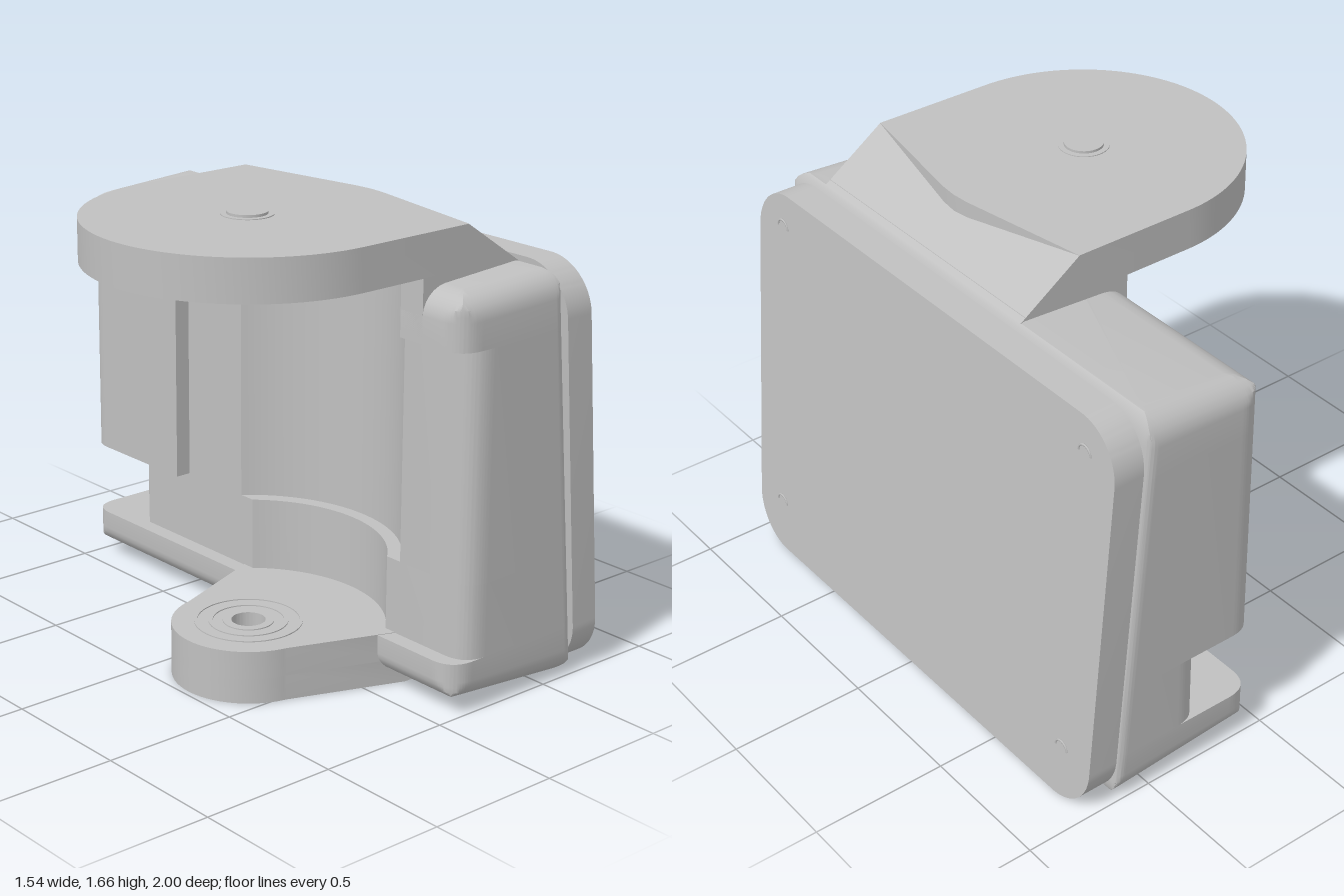
import * as THREE from 'three';
import { toCreasedNormals } from 'three/addons/utils/BufferGeometryUtils.js';

const AX = -0.21, AZ = 0.255;   // hinge axis
const TOP = 1.49;               // top of housing
const gray = new THREE.MeshStandardMaterial({ color: 0xc0c0c0 });
gray.name = 'light gray';

// Upright prism from a plan drawn in (x, -z)
function prism(shape, y0, y1, steps = 1) {
  const g = new THREE.ExtrudeGeometry(shape, { depth: y1 - y0, steps, bevelEnabled: false, curveSegments: 32 });
  return g.rotateX(-Math.PI / 2).translate(0, y0, 0);
}

function circlePath(x, z, r) {
  return new THREE.Path().absarc(x, -z, r, 0, Math.PI * 2, true);
}

// Housing plan: back faces at xa (z < zs), xb (up to the pocket) and xc (beyond it)
function housingPlan(xa, zs, xb, xc, r) {
  const s = new THREE.Shape();
  s.moveTo(0.56, -1);
  s.quadraticCurveTo(0.6, -1, 0.6, -0.96);
  s.lineTo(0.6, 0.96);
  s.quadraticCurveTo(0.6, 1, 0.56, 1);
  s.lineTo(xa + 0.1, 1);
  s.quadraticCurveTo(xa, 1, xa, 0.9);
  if (xa !== xb) {
    s.lineTo(xa, -zs);
    s.lineTo(xb, -zs);
  }
  if (r) {
    const a = Math.acos((xb - AX) / r);
    s.absarc(AX, -AZ, r, a, -a, true);
  }
  s.lineTo(xc, -0.9);
  s.quadraticCurveTo(xc, -1, xc + 0.1, -1);
  s.closePath();
  return s;
}

// Slice of the housing: sloped front, filleted top and bottom edges
function housingBand(shape, levels) {
  const n = levels.length - 1, R = 0.1;
  const g = prism(shape, 0, 1, n), p = g.attributes.position;
  for (let i = 0; i < p.count; i++) {
    let y = levels[Math.round(p.getY(i) * n)];
    let x = p.getX(i);
    const front = 0.515 + 0.135 * (1 - y / TOP);
    if (x > 0.45) x += front - 0.6;
    const t = Math.min(y, TOP - y);
    const d = t < R ? R - Math.sqrt(R * R - (R - t) ** 2) : 0;
    x = THREE.MathUtils.clamp(x, 0.05 + d, front - 0.4 * d);
    const z = THREE.MathUtils.clamp(p.getZ(i), d - 1, 1 - d);
    const low = Math.max(0, 1 - y / 0.19), high = Math.max(0, (y - 1.28) / 0.21);
    y += 0.09 * Math.max(0, 0.6 - x) * low - 0.06 * Math.max(0, 0.5 - x) * high;
    p.setXYZ(i, x, y, z);
  }
  return toCreasedNormals(g, 0.6);
}

// Rounded slab parallel to the sloped front
function slopedSlab(halfZ, y0, y1, r, back, thick) {
  const s = new THREE.Shape();
  s.moveTo(-halfZ + r, y0);
  s.lineTo(halfZ - r, y0);
  s.absarc(halfZ - r, y0 + r, r, -Math.PI / 2, 0, false);
  s.absarc(halfZ - r, y1 - r, r, 0, Math.PI / 2, false);
  s.absarc(-halfZ + r, y1 - r, r, Math.PI / 2, Math.PI, false);
  s.absarc(-halfZ + r, y0 + r, r, Math.PI, Math.PI * 1.5, false);
  const g = new THREE.ExtrudeGeometry(s, { depth: thick, bevelEnabled: false, curveSegments: 12 });
  g.rotateY(Math.PI / 2);
  const p = g.attributes.position;
  for (let i = 0; i < p.count; i++) p.setX(i, p.getX(i) + back + 0.125 * (1 - p.getY(i) / TOP));
  return toCreasedNormals(g, 0.5);
}

// Lower arm plan: round tip that widens toward the housing
function lowerArmPlan(holes) {
  const s = new THREE.Shape(), a = Math.PI / 2 + 0.2, r = 0.27;
  s.moveTo(0.46, -AZ - 0.42);
  s.lineTo(0.46, -AZ + 0.42);
  s.lineTo(0.15, -AZ + 0.42);
  s.absarc(AX, -AZ, r, a, Math.PI * 2 - a, false);
  s.lineTo(0.15, -AZ - 0.42);
  s.closePath();
  s.holes.push(...holes);
  return s;
}

export function createModel() {
  const model = new THREE.Group();
  const add = (name, geometry) => {
    const m = new THREE.Mesh(geometry, gray);
    m.name = name;
    model.add(m);
    return m;
  };
  const smooth = (g) => toCreasedNormals(g, 0.5);

  // Housing, in bands from bottom to top
  const fillet = [0, 0.004, 0.015, 0.03, 0.05, 0.075, 0.1];
  add('housingBase', housingBand(housingPlan(0.05, 0, 0.05, 0.05, 0), [...fillet, 0.19]));
  add('housingNotchBand', housingBand(housingPlan(0.28, -0.72, 0.11, 0.11, 0.48), [0.19, 0.46]));
  add('housingMiddle', housingBand(housingPlan(0.05, -0.47, 0.11, 0.11, 0.53), [0.46, 1.28]));
  add('housingTop', housingBand(housingPlan(0.05, 0, 0.05, 0.05, 0.53),
    [1.28, ...fillet.map((f) => TOP - f).reverse()]));

  // Front cover and the recessed core behind it
  add('frontCover', slopedSlab(1, 0, TOP, 0.18, 0.53, 0.115));
  add('coverCore', slopedSlab(0.95, 0.05, 1.45, 0.15, 0.47, 0.1));

  // Crescent marks near the cover corners
  for (const z of [-0.85, 0.85]) {
    for (const y of [0.2, 1.36]) {
      const g = new THREE.TorusGeometry(0.03, 0.004, 6, 12, Math.PI);
      const m = add('coverMark', g.rotateY(Math.PI / 2));
      m.position.set(0.645 + 0.125 * (1 - y / TOP), y, z);
    }
  }

  // Neck under the upper arm, with the pocket running through it
  const neck = new THREE.Shape(), a = Math.acos((0.05 - AX) / 0.53);
  neck.moveTo(0.47, -0.82);
  neck.lineTo(0.47, 0.31);
  neck.lineTo(0.05, 0.31);
  neck.absarc(AX, -AZ, 0.53, a, -a, true);
  neck.lineTo(0.05, -0.82);
  neck.closePath();
  add('neck', smooth(prism(neck, 1.3, 1.5)));

  // Upper arm plate with a shallow pointed front
  const upper = new THREE.Shape();
  upper.moveTo(0.25, -0.82);
  upper.lineTo(0.335, -0.32);
  upper.lineTo(0.34, -AZ);
  upper.lineTo(0.335, -0.19);
  upper.lineTo(0.25, 0.31);
  upper.absarc(AX, -AZ, 0.565, Math.PI / 2, Math.PI * 1.5, false);
  upper.closePath();
  add('upperArm', smooth(prism(upper, 1.5, 1.65)));

  // Sloped wedge joining the upper arm to the housing
  const wedge = new THREE.Shape([[0.1, 1.5], [0.3, 1.485], [0.49, 1.485], [0.25, 1.649], [0.1, 1.649]]
    .map(([x, y]) => new THREE.Vector2(x, y)));
  add('upperArmWedge', new THREE.ExtrudeGeometry(wedge, { depth: 1.13, bevelEnabled: false }).translate(0, 0, -0.31));

  // Pivot boss, pin and collar on the hinge axis
  const cylinder = (name, r, y0, y1) => add(name, new THREE.CylinderGeometry(r, r, y1 - y0, 40))
    .position.set(AX - 0.005, (y0 + y1) / 2, AZ);
  cylinder('pivotBoss', 0.13, 1.405, 1.51);
  cylinder('pivotPin', 0.07, 1.6, 1.662);
  cylinder('pinCollar', 0.09, 1.6, 1.653);

  // Lower arm: counterbore and screw holes below, through hole above
  const bore = [circlePath(AX, AZ, 0.11), circlePath(0.34, 0.01, 0.075), circlePath(0.34, 0.5, 0.075)];
  add('lowerArmBottom', smooth(prism(lowerArmPlan(bore), 0, 0.09)));
  add('lowerArmTop', smooth(prism(lowerArmPlan([circlePath(AX, AZ, 0.06)]), 0.09, 0.192)));

  // Thin bearing rings on the lower arm
  for (const [inner, outer] of [[0.06, 0.09], [0.125, 0.14], [0.18, 0.19]]) {
    const ring = new THREE.Shape().absarc(AX, -AZ, outer, 0, Math.PI * 2, false);
    ring.holes.push(circlePath(AX, AZ, inner));
    add('bearingRing', smooth(prism(ring, 0.19, 0.196)));
  }
  return model;
}
